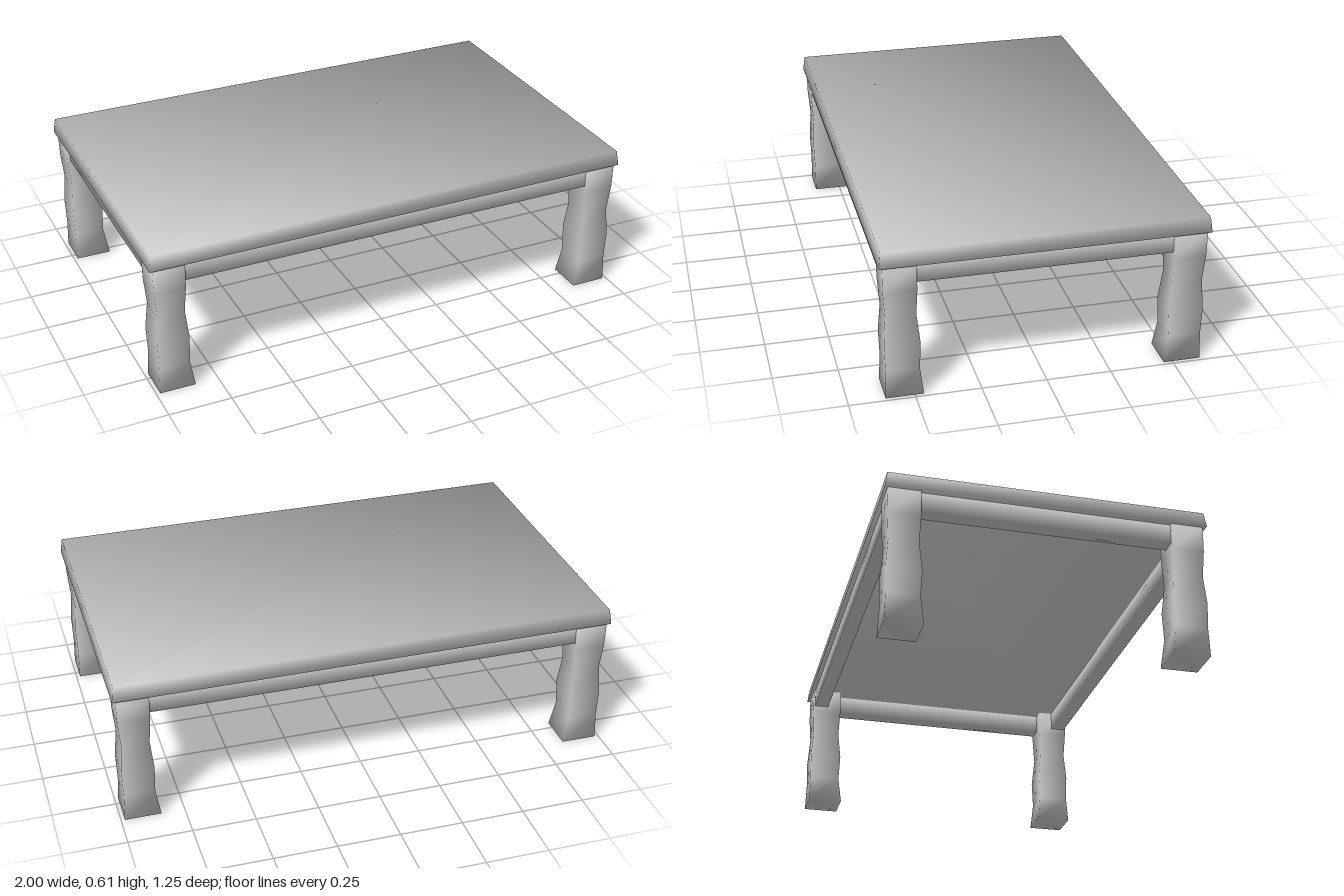
import * as THREE from 'three';
import { mergeVertices } from 'three/addons/utils/BufferGeometryUtils.js';

// Unit box with shared vertices, standing on y = 0, for soft shading round the edges
function softBox(rows = 1) {
  const box = new THREE.BoxGeometry(1, 1, 1, 1, rows, 1).translate(0, 0.5, 0);
  box.deleteAttribute('normal');
  box.deleteAttribute('uv');
  return mergeVertices(box);
}

// Beam whose corner normals lean out along the chosen axes; taper pulls in the top rim
function beam(w, h, d, lean, taper = 0) {
  const geo = softBox();
  const pos = geo.attributes.position;
  const normals = [];
  const n = new THREE.Vector3();
  for (let i = 0; i < pos.count; i++) {
    const sx = Math.sign(pos.getX(i));
    const sz = Math.sign(pos.getZ(i));
    const top = pos.getY(i) > 0.5;
    const inset = top ? taper : 0;
    pos.setXYZ(i, sx * (w / 2 - inset), top ? h : 0, sz * (d / 2 - inset));
    n.set(sx * lean[0], (top ? 1 : -1) * lean[1], sz * lean[2]).normalize();
    normals.push(n.x, n.y, n.z);
  }
  geo.setAttribute('normal', new THREE.Float32BufferAttribute(normals, 3));
  return geo;
}

// Leg levels: height, inner x, outer x, inner z, outer z
const LEG = [
  [0, 0.842, 0.985, 0.466, 0.61],
  [0.11, 0.86, 0.982, 0.479, 0.607],
  [0.22, 0.857, 0.985, 0.475, 0.61],
  [0.335, 0.868, 0.976, 0.487, 0.602],
  [0.44, 0.861, 0.985, 0.483, 0.609],
  [0.545, 0.86, 0.987, 0.484, 0.61],
];

// Wavy hand-hewn leg for the corner given by the signs
function legGeometry(sx, sz) {
  const rows = LEG.length - 1;
  const geo = softBox(rows);
  const pos = geo.attributes.position;
  for (let i = 0; i < pos.count; i++) {
    const [y, xi, xo, zi, zo] = LEG[Math.round(pos.getY(i) * rows)];
    const x = pos.getX(i) * sx > 0 ? xo : xi;
    const z = pos.getZ(i) * sz > 0 ? zo : zi;
    pos.setXYZ(i, sx * x, y, sz * z);
  }
  geo.computeVertexNormals();
  return geo;
}

export function createModel() {
  const model = new THREE.Group();
  model.name = 'lowTable';
  const grey = new THREE.MeshStandardMaterial({ color: 0xc0c0c0 });
  grey.name = 'lightGrey';

  const add = (name, geo, x = 0, y = 0, z = 0) => {
    const mesh = new THREE.Mesh(geo, grey);
    mesh.name = name;
    mesh.position.set(x, y, z);
    model.add(mesh);
  };

  // Table top, slightly narrower at its upper rim
  add('tableTop', beam(2, 0.06, 1.245, [1, 1, 1], 0.008), 0, 0.545, 0);

  for (const s of [1, -1]) {
    // Rails between the legs
    add(s > 0 ? 'frontRail' : 'backRail', beam(1.73, 0.078, 0.06, [0, 1, 1]), 0, 0.467, s * 0.572);
    add(s > 0 ? 'leftRail' : 'rightRail', beam(0.06, 0.078, 0.98, [1, 1, 0]), s * 0.945, 0.467, 0);

    // Legs
    for (const sz of [1, -1]) {
      add((sz > 0 ? 'front' : 'back') + (s > 0 ? 'Left' : 'Right') + 'Leg', legGeometry(s, sz));
    }
  }
  return model;
}
